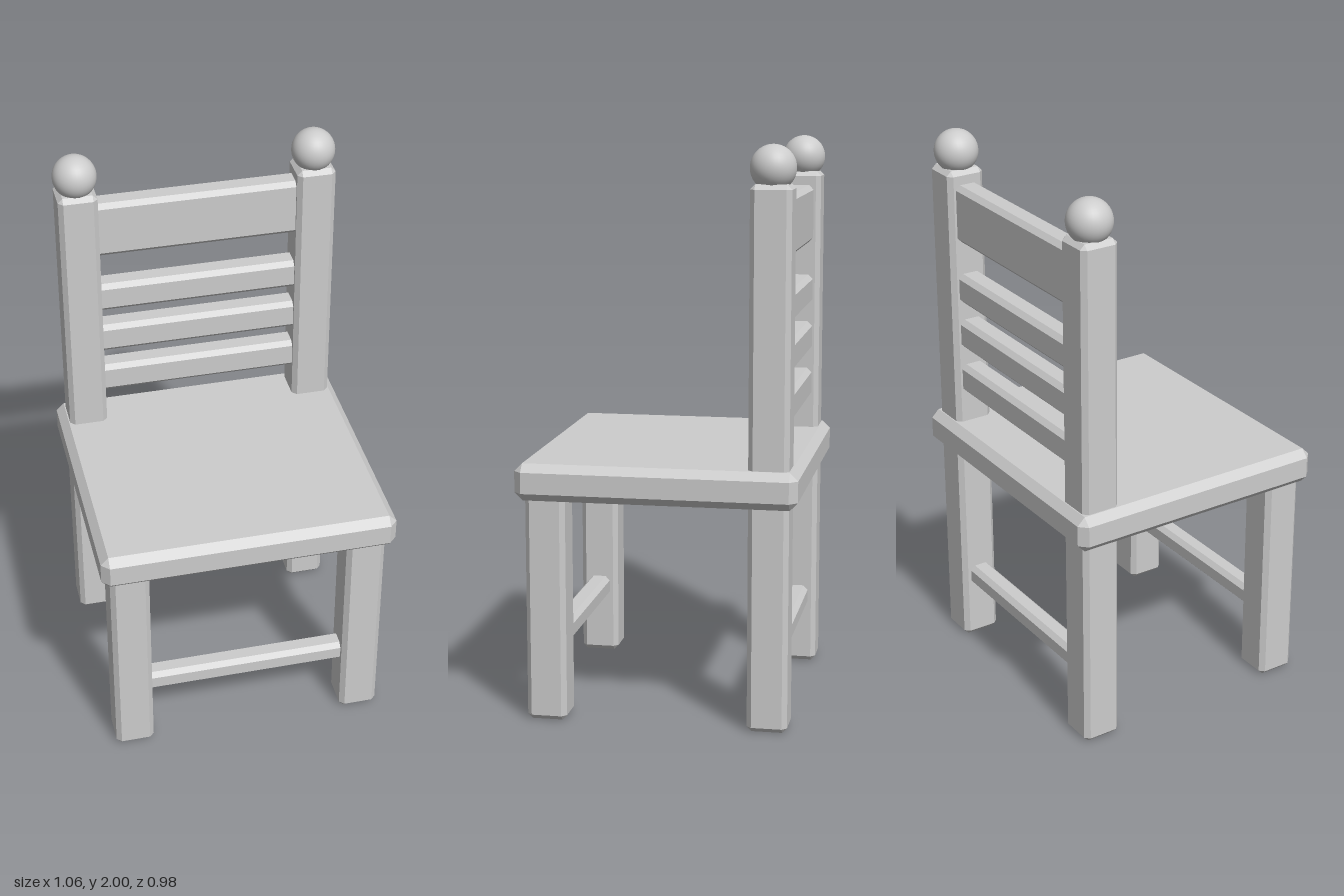
import * as THREE from 'three';
import { ConvexGeometry } from 'three/addons/geometries/ConvexGeometry.js';

// Box with every edge and corner cut flat
function chamferBox(w, h, d, c) {
  const pts = [];
  for (const sx of [-1, 1]) for (const sy of [-1, 1]) for (const sz of [-1, 1]) {
    const x = w / 2, y = h / 2, z = d / 2;
    pts.push(
      new THREE.Vector3(sx * x, sy * (y - c), sz * (z - c)),
      new THREE.Vector3(sx * (x - c), sy * y, sz * (z - c)),
      new THREE.Vector3(sx * (x - c), sy * (y - c), sz * z)
    );
  }
  return new ConvexGeometry(pts);
}

export function createModel() {
  const group = new THREE.Group();
  const grey = new THREE.MeshStandardMaterial({ color: 0xcccccc });
  grey.name = 'paintedGrey';

  const add = (name, geometry, x, y, z) => {
    const mesh = new THREE.Mesh(geometry, grey);
    mesh.name = name;
    mesh.position.set(x, y, z);
    group.add(mesh);
  };
  // Chamfered part given by its bottom and top heights
  const part = (name, w, y0, y1, d, c, x, z) =>
    add(name, chamferBox(w, y1 - y0, d, c), x, (y0 + y1) / 2, z);

  const legX = 0.427, legZ = 0.387, legW = 0.14, bevel = 0.017;

  part('seat', 1.058, 0.785, 0.915, 0.978, 0.028, 0, 0);

  // Legs, tall back posts and ball finials
  for (const [side, s] of [['left', 1], ['right', -1]]) {
    part(side + 'FrontLeg', legW, 0, 0.83, legW, bevel, s * legX, legZ);
    part(side + 'BackPost', legW, 0, 1.87, legW, bevel, s * legX, -legZ);
    add(side + 'Finial', new THREE.SphereGeometry(0.078, 32, 20), s * legX, 1.922, -legZ);
  }

  // Backrest rails, with their ends sunk into the posts
  const rails = [[1.03, 1.14], [1.205, 1.315], [1.38, 1.49], [1.61, 1.82]];
  rails.forEach(([y0, y1], i) =>
    part(i === 3 ? 'topRail' : 'backSlat' + (i + 1), 0.78, y0, y1, 0.09, bevel, 0, -legZ));

  // Low stretchers between the legs
  part('frontStretcher', 0.78, 0.22, 0.298, 0.08, bevel, 0, legZ);
  part('backStretcher', 0.78, 0.22, 0.298, 0.08, bevel, 0, -legZ);

  return group;
}
